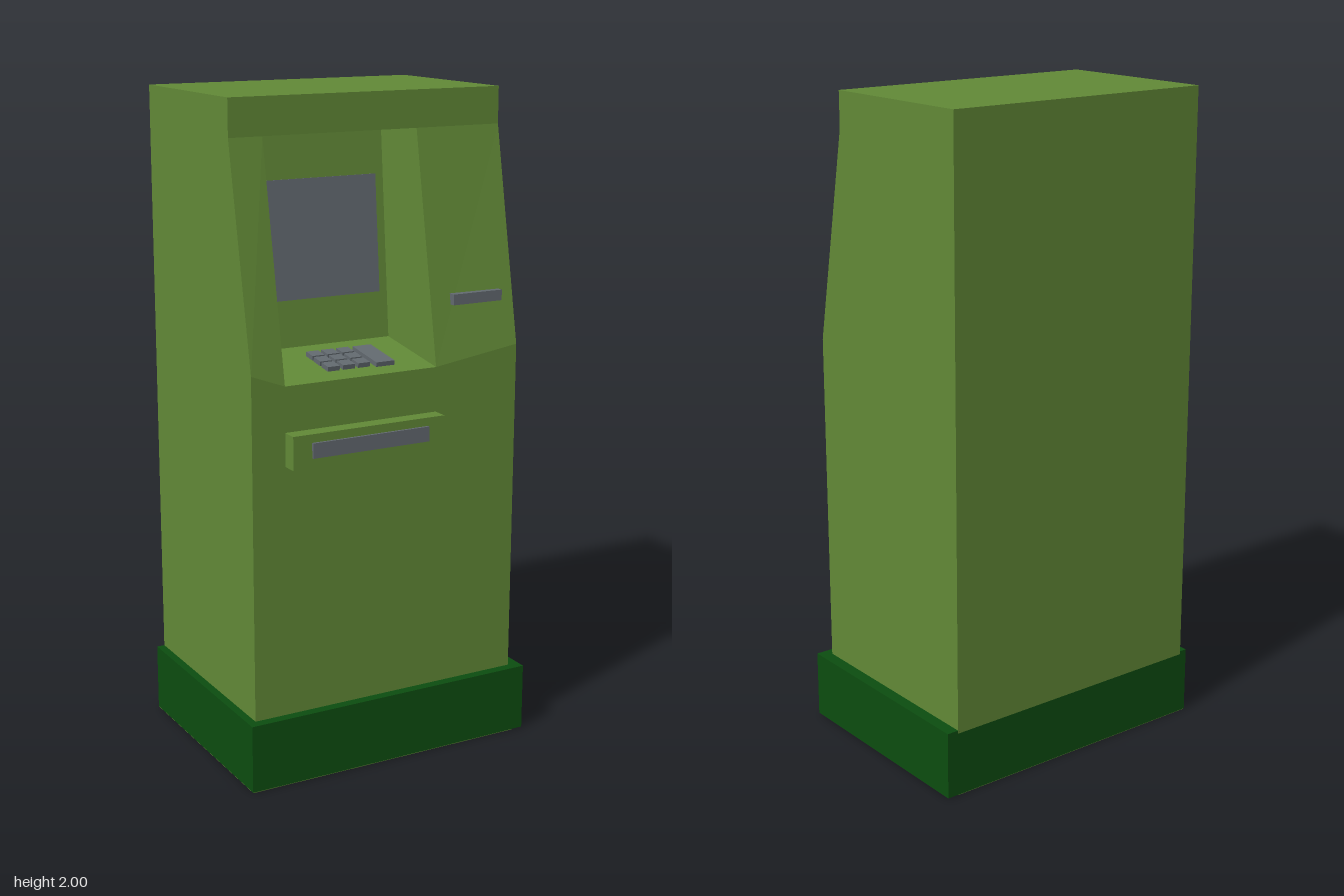
import * as THREE from 'three';

const casing = new THREE.MeshStandardMaterial({ name: 'olive casing', color: 0x628a37 });
const plinth = new THREE.MeshStandardMaterial({ name: 'dark green plinth', color: 0x0c4d10 });
const grey = new THREE.MeshStandardMaterial({ name: 'slate grey', color: 0x636a70 });

// Box given by its [min, max] extents
function box(name, [x0, x1], [y0, y1], [z0, z1], material) {
  const mesh = new THREE.Mesh(new THREE.BoxGeometry(x1 - x0, y1 - y0, z1 - z0), material);
  mesh.name = name;
  mesh.position.set((x0 + x1) / 2, (y0 + y1) / 2, (z0 + z1) / 2);
  return mesh;
}

// Flat-shaded mesh from polygons, each fanned from its first corner
function panels(name, polygons, material) {
  const positions = [];
  for (const p of polygons) {
    for (let i = 1; i < p.length - 1; i++) positions.push(...p[0], ...p[i], ...p[i + 1]);
  }
  const geometry = new THREE.BufferGeometry();
  geometry.setAttribute('position', new THREE.Float32BufferAttribute(positions, 3));
  geometry.computeVertexNormals();
  const mesh = new THREE.Mesh(geometry, material);
  mesh.name = name;
  return mesh;
}

export function createModel() {
  const model = new THREE.Group();
  model.name = 'cashMachine';

  // Main levels: cabinet sides, recess sides, depths and heights
  const L = -0.45, R = 0.435, l = -0.345, r = 0.153;
  const back = -0.365, front = 0.305, brow = 0.18;
  const low = 0.2, bend = 1.245, sill = 1.205, head = 1.89, top = 2;
  const wallLow = 0.027, wallHigh = -0.027;

  // Cabinet shell with sloped front
  const profile = [[head, brow], [bend, front], [low, front], [low, back], [top, back], [top, brow]];
  const mirrored = [profile[0], ...profile.slice(1).reverse()];
  model.add(panels('cabinet', [
    profile.map(([y, z]) => [R, y, z]),
    mirrored.map(([y, z]) => [L, y, z]),
    [[l, sill, front], [L, bend, front], [L, low, front], [R, low, front], [r, sill, front]],
    [[r, sill, front], [R, low, front], [R, bend, front]],
    [[L, bend, front], [l, sill, front], [l, head, brow], [L, head, brow]],
    [[r, sill, front], [R, bend, front], [R, head, brow], [r, head, brow]],
    [[L, head, brow], [R, head, brow], [R, top, brow], [L, top, brow]],
    [[L, top, brow], [R, top, brow], [R, top, back], [L, top, back]],
    [[R, low, back], [L, low, back], [L, top, back], [R, top, back]],
  ], casing));

  // Recess for the screen and keypad
  const cheek = [[sill, front], [bend, wallLow], [head, wallHigh], [head, brow]];
  model.add(panels('recess', [
    [[l, sill, front], [r, sill, front], [r, bend, wallLow], [l, bend, wallLow]],
    [[l, bend, wallLow], [r, bend, wallLow], [r, head, wallHigh], [l, head, wallHigh]],
    [[l, head, wallHigh], [r, head, wallHigh], [r, head, brow], [l, head, brow]],
    cheek.map(([y, z]) => [l, y, z]),
    [...cheek].reverse().map(([y, z]) => [r, y, z]),
  ], casing));

  // Plinth and underside
  model.add(box('plinth', [-0.475, 0.472], [0.002, 0.21], [back, 0.335], plinth));
  model.add(box('underside', [-0.474, 0.435], [0, 0.004], [back + 0.001, 0.334], casing));

  // Screen lying on the leaning back wall
  const screen = box('screen', [-0.315, 0.125], [1.385, 1.74], [-0.004, 0.005], grey);
  screen.rotation.x = -Math.atan((wallLow - wallHigh) / (head - bend));
  model.add(screen);

  // Keypad on the tilted shelf
  const keypad = new THREE.Group();
  keypad.name = 'keypad';
  keypad.position.set(0, sill, front);
  keypad.rotation.x = Math.atan((bend - sill) / (front - wallLow));
  for (let row = 0; row < 3; row++) {
    for (let col = 0; col < 3; col++) {
      const x = -0.173 + col * 0.05, z = -0.066 - row * 0.048;
      keypad.add(box('key', [x, x + 0.039], [-0.002, 0.014], [z - 0.04, z], grey));
    }
  }
  keypad.add(box('enterKey', [-0.018, 0.043], [-0.002, 0.014], [-0.2, -0.056], grey));
  model.add(keypad);

  // Card slot on the slope
  model.add(box('cardSlot', [0.22, 0.388], [1.38, 1.412], [0.265, 0.291], grey));

  // Cash dispenser
  model.add(box('dispenser', [l, r], [0.97, 1.07], [0.3, 0.354], casing));
  model.add(box('cashSlot', [-0.285, 0.098], [1.0, 1.045], [0.35, 0.362], grey));

  return model;
}
